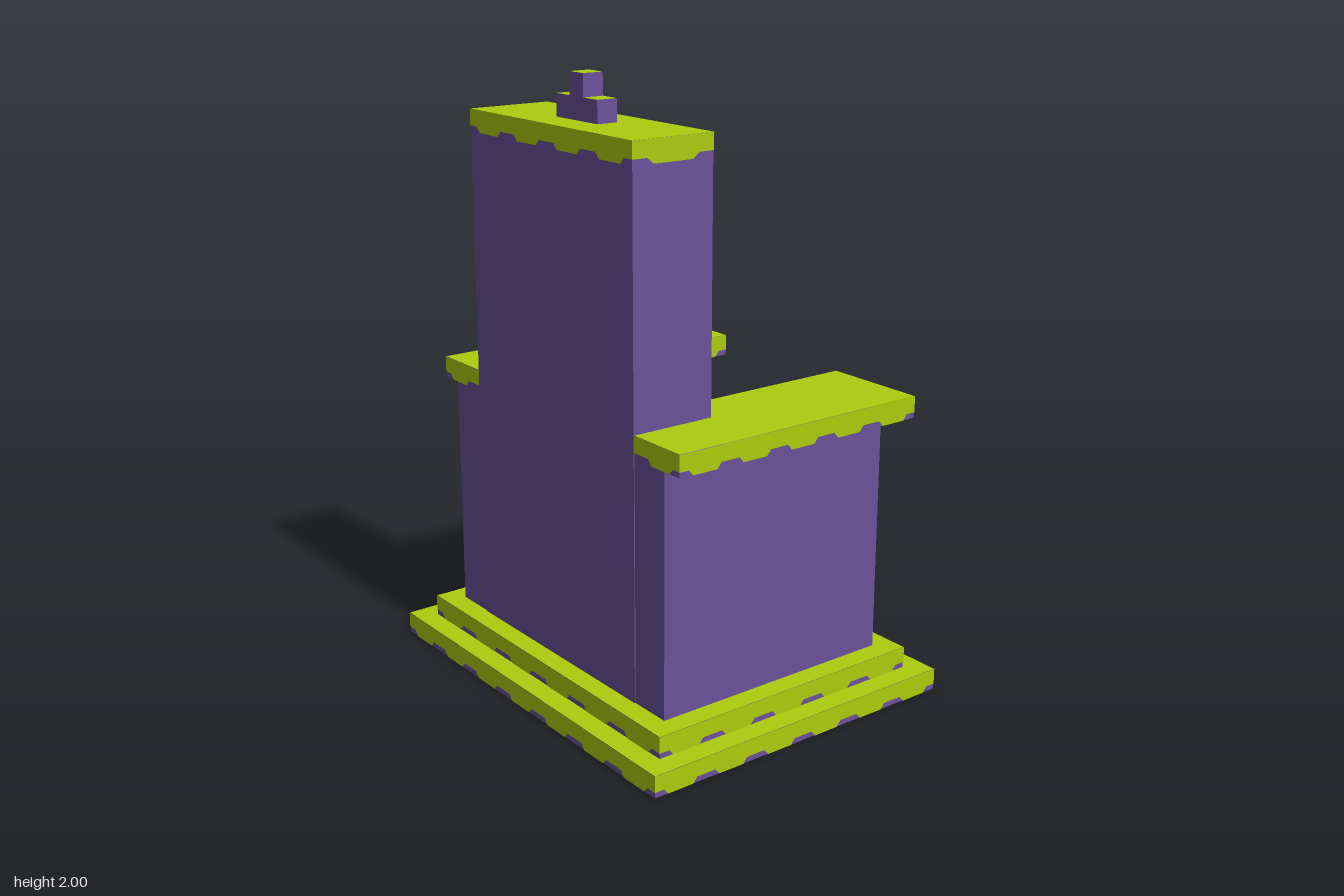
import * as THREE from 'three';

const U = 1 / 14; // building unit

export function createModel() {
  const purple = new THREE.MeshStandardMaterial({ color: 0x6a529a });
  purple.name = 'purple stone';
  const lime = new THREE.MeshStandardMaterial({ color: 0xadcb0e });
  lime.name = 'lime moss';

  const group = new THREE.Group();
  group.name = 'throne';

  // Moss strip hanging from y = 0, with a scalloped lower edge
  function bandGeometry(width) {
    const shape = new THREE.Shape();
    const n = Math.max(1, Math.round(width / 0.2));
    const p = width / n, x0 = -width / 2, high = -0.053, low = -U;
    shape.moveTo(x0, 0);
    shape.lineTo(x0, high);
    for (let i = 0; i < n; i++) {
      const x = x0 + i * p;
      shape.lineTo(x + p * 0.18, high);
      shape.lineTo(x + p * 0.26, low);
      shape.lineTo(x + p * 0.74, low);
      shape.lineTo(x + p * 0.82, high);
    }
    shape.lineTo(-x0, high);
    shape.lineTo(-x0, 0);
    return new THREE.ShapeGeometry(shape);
  }

  // Box between two corners; optional lime top and mossy rim on its sides
  function block(name, x0, x1, y0, y1, z0, z1, { top = true, rim = true } = {}) {
    const part = new THREE.Group();
    part.name = name;
    const w = x1 - x0, h = y1 - y0, d = z1 - z0;
    const body = new THREE.Mesh(
      new THREE.BoxGeometry(w, h, d),
      [purple, purple, top ? lime : purple, purple, purple, purple]
    );
    body.name = name + 'Body';
    part.add(body);
    if (rim) {
      const gap = 0.0015;
      for (let i = 0; i < 4; i++) {
        const side = i % 2; // odd strips face along x
        const strip = new THREE.Mesh(bandGeometry((side ? d : w) + gap * 2), lime);
        strip.name = name + 'MossRim';
        const angle = (i * Math.PI) / 2, r = (side ? w : d) / 2 + gap;
        strip.position.set(Math.sin(angle) * r, h / 2, Math.cos(angle) * r);
        strip.rotation.y = angle;
        part.add(strip);
      }
    }
    part.position.set((x0 + x1) / 2, (y0 + y1) / 2, (z0 + z1) / 2);
    group.add(part);
  }

  // Stepped base
  block('baseStep', -8 * U, 8 * U, 0, U, -10 * U, 10 * U);
  block('upperStep', -7 * U, 7 * U, U, 2 * U, -9 * U, 9 * U);

  // Tall back, a hair proud of the arms behind it
  block('backrest', -6 * U - 0.003, -2 * U, 2 * U, 26 * U, -6 * U, 6 * U);

  // Seat between the arms
  block('seat', -2 * U - 0.02, 4 * U, 2 * U, 10 * U, -4 * U, 4 * U);

  // Arms with overhanging slabs
  for (const s of [1, -1]) {
    const side = s > 0 ? 'front' : 'rear';
    const span = (a, b) => (s > 0 ? [a * U, b * U] : [-b * U, -a * U]);
    block(side + 'Arm', -6 * U, 6 * U, 2 * U, 13 * U, ...span(4, 8), { top: false, rim: false });
    block(side + 'ArmSlab', -6 * U, 7 * U, 13 * U, 14 * U, ...span(4, 9));
  }

  // Small stepped finial on the back
  block('finialBase', -4.5 * U, -3.5 * U, 26 * U, 27 * U, -1.5 * U, 1.5 * U, { rim: false });
  block('finialTip', -4.5 * U, -3.5 * U, 27 * U, 28 * U, -0.5 * U, 0.5 * U, { rim: false });

  return group;
}
